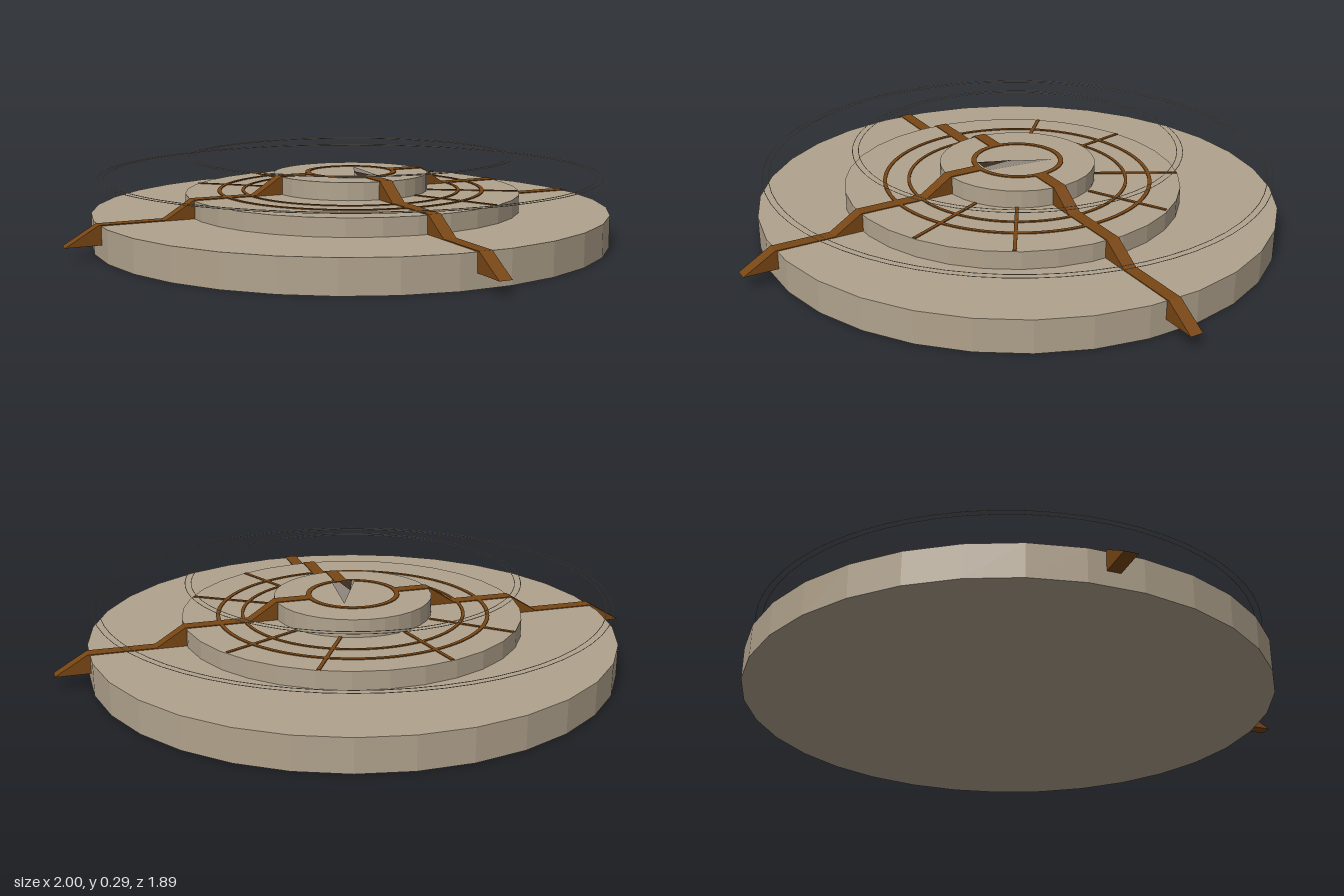
import * as THREE from 'three';

const stone = new THREE.MeshStandardMaterial({ color: 0xb0a28c, flatShading: true });
const bronze = new THREE.MeshStandardMaterial({ color: 0x784614 });
const dark = new THREE.MeshStandardMaterial({ color: 0x3a2c20 });
const grey = new THREE.MeshStandardMaterial({ color: 0x8f877c, side: THREE.DoubleSide });
const CZ = -0.057; // centre of the dais
const LIFT = 0.003; // inlays stand just proud of the stone

export function createModel() {
  const model = new THREE.Group();
  const add = (name, geometry, material, x = 0, y = 0, z = 0) => {
    const mesh = new THREE.Mesh(geometry, material);
    mesh.name = name;
    mesh.position.set(x, y, z);
    model.add(mesh);
    return mesh;
  };

  // Stacked round tiers: radius, bottom, top, centre z
  const tiers = [
    ['baseTier', 0.89, 0, 0.11, CZ],
    ['middleTier', 0.577, 0.11, 0.17, -0.038],
    ['topTier', 0.267, 0.17, 0.23, CZ],
  ];
  for (const [name, r, y0, y1, z] of tiers) {
    add(name, new THREE.CylinderGeometry(r, r, y1 - y0, 32), stone, 0, (y0 + y1) / 2, z);
  }

  // Flat inlaid rings
  const inlayRing = (name, outer, width, y) => {
    const shape = new THREE.Shape().absarc(0, 0, outer, 0, Math.PI * 2);
    shape.holes.push(new THREE.Path().absarc(0, 0, outer - width, 0, Math.PI * 2, true));
    const geometry = new THREE.ExtrudeGeometry(shape, { depth: LIFT, bevelEnabled: false, curveSegments: 48 });
    geometry.rotateX(-Math.PI / 2);
    add(name, geometry, bronze, 0, y, CZ);
  };
  inlayRing('outerInlayRing', 0.463, 0.013, 0.17);
  inlayRing('innerInlayRing', 0.38, 0.011, 0.17);
  inlayRing('centreInlayRing', 0.158, 0.017, 0.23);

  // Long stepped spokes: a strip on each tier ending in a sloping wedge over its edge
  const spokeWidth = 0.044;
  const spokes = [['rightSpoke', 0, 0], ['leftSpoke', Math.PI, 0], ['frontSpoke', -Math.PI / 2, 0.02]];
  for (const [name, direction, shift] of spokes) {
    const spoke = new THREE.Group();
    spoke.name = name;
    const steps = [
      [0.15, 0.27, 0.368, 0.23],
      [0.26, 0.577 + shift, 0.68 + shift, 0.17],
      [0.57, 0.893, 1.002, 0.11],
    ];
    for (const [start, edge, end, y] of steps) {
      const top = y + LIFT, bottom = y - 0.062;
      const profile = new THREE.Shape([
        new THREE.Vector2(start, bottom), new THREE.Vector2(end, bottom),
        new THREE.Vector2(edge, top), new THREE.Vector2(start, top),
      ]);
      const geometry = new THREE.ExtrudeGeometry(profile, { depth: spokeWidth, bevelEnabled: false });
      geometry.translate(0, 0, -spokeWidth / 2);
      const mesh = new THREE.Mesh(geometry, bronze);
      mesh.name = 'spokeStep';
      spoke.add(mesh);
    }
    spoke.position.z = CZ;
    spoke.rotation.y = direction + 0.089;
    model.add(spoke);
  }

  // Short thin bars on the middle tier: x, z of both ends
  const bars = [
    [-0.123, -0.299, -0.206, -0.574], [0.091, -0.31, 0.209, -0.574],
    [-0.235, -0.193, -0.468, -0.372], [0.219, -0.219, 0.46, -0.374],
    [0.241, 0.059, 0.519, 0.2], [0.15, 0.166, 0.31, 0.444],
  ];
  for (const [x0, z0, x1, z1] of bars) {
    const dx = x1 - x0, dz = z1 - z0;
    const bar = add('shortBar', new THREE.BoxGeometry(Math.hypot(dx, dz), LIFT * 2, 0.012), bronze,
      (x0 + x1) / 2, 0.17, (z0 + z1) / 2);
    bar.rotation.y = -Math.atan2(dz, dx);
  }

  // Thin hoops hovering above the tiers
  for (const [r, y] of [[0.866, 0.23], [0.845, 0.23], [0.562, 0.29], [0.542, 0.29]]) {
    const hoop = new THREE.TorusGeometry(r, 0.0012, 4, 64).rotateX(Math.PI / 2);
    add('floatingHoop', hoop, stone, 0, y, CZ);
  }

  // Flat pointer in the centre, with a small dark arrow on it
  const flatPiece = (name, points, material, y) => {
    const shape = new THREE.Shape(points.map(([x, z]) => new THREE.Vector2(x, -z)));
    add(name, new THREE.ShapeGeometry(shape).rotateX(-Math.PI / 2), material, 0, y, 0);
  };
  flatPiece('pointer', [[-0.035, 0.08], [0.048, 0.07], [0.05, -0.165]], grey, 0.233);
  flatPiece('pointerArrow', [[-0.025, 0.08], [0.025, 0.08], [0.003, -0.035]], dark, 0.235);

  return model;
}
